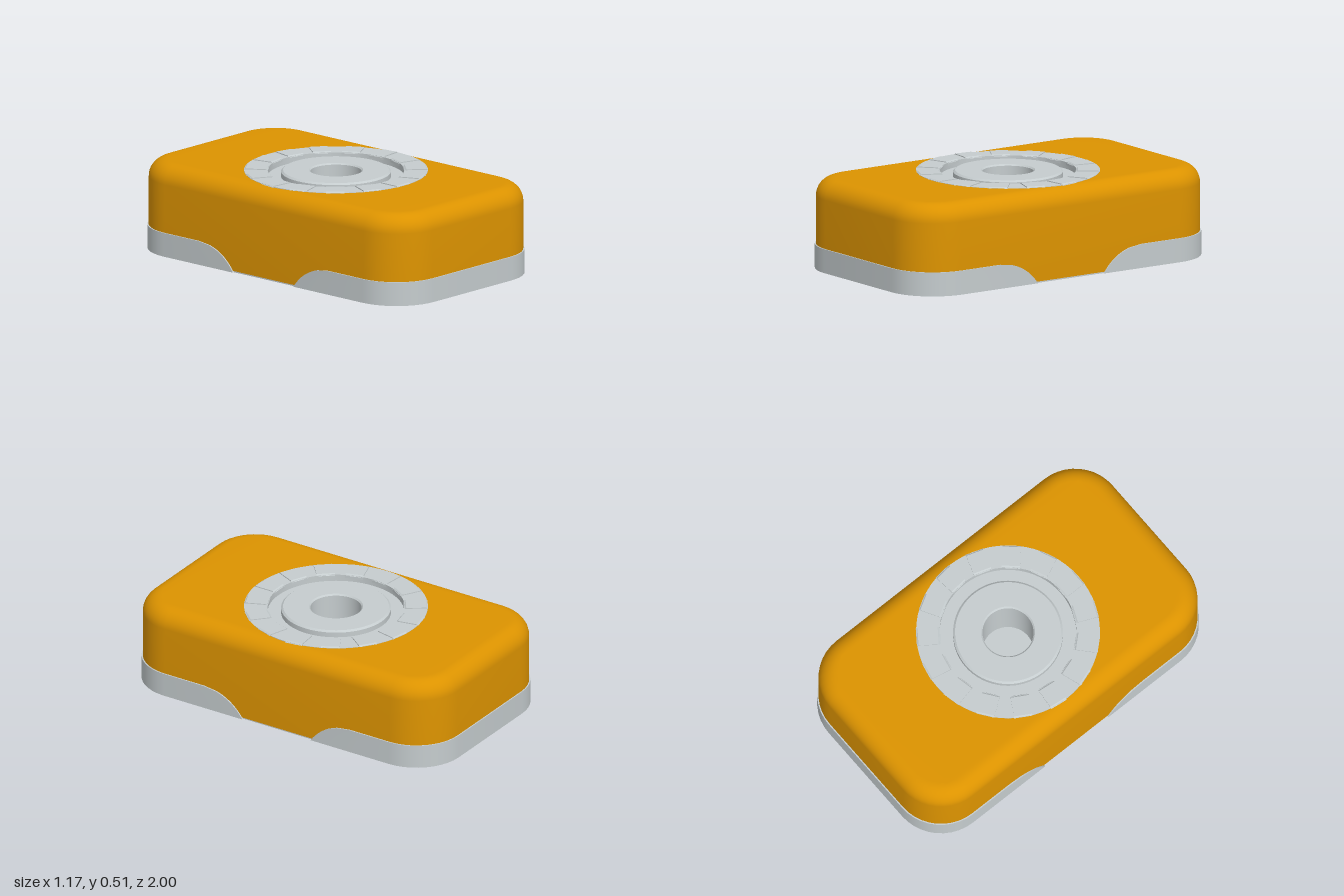
import * as THREE from 'three';
import { toCreasedNormals, mergeGeometries } from 'three/addons/utils/BufferGeometryUtils.js';

const grey = new THREE.MeshStandardMaterial({ color: 0xc5ccce });
const orange = new THREE.MeshStandardMaterial({ color: 0xdc9300 });

// Rounded rectangle in plan, counter-clockwise; optional side notches of half-length w
function outline(hx, hz, r, w = 0, depth = 0) {
  const pts = [];
  const corner = (sx, sz, start) => {
    for (let i = 0; i <= 10; i++) {
      const a = start + (i / 10) * Math.PI / 2;
      pts.push(new THREE.Vector2(sx * (hx - r) + r * Math.cos(a), sz * (hz - r) + r * Math.sin(a)));
    }
  };
  const notch = (s) => {
    if (!depth) return;
    const x = s * hx, xi = s * (hx - depth);
    pts.push(new THREE.Vector2(x, -s * w), new THREE.Vector2(xi, -s * w),
      new THREE.Vector2(xi, s * w), new THREE.Vector2(x, s * w));
  };
  notch(1);
  corner(1, 1, 0);
  corner(-1, 1, Math.PI / 2);
  notch(-1);
  corner(-1, -1, Math.PI);
  corner(1, -1, Math.PI * 1.5);
  return pts;
}

// Skin through stacked outlines, closed with flat caps; the top cap may have a round hole
function loft(rows, hole = 0) {
  const pos = [], idx = [], n = rows[0].pts.length;
  for (const { pts, y } of rows) for (const p of pts) pos.push(p.x, y, -p.y);
  for (let k = 0; k < rows.length - 1; k++) {
    for (let i = 0; i < n; i++) {
      const a = k * n + i, b = k * n + (i + 1) % n;
      idx.push(a, b, b + n, a, b + n, a + n);
    }
  }
  const skin = new THREE.BufferGeometry();
  skin.setAttribute('position', new THREE.Float32BufferAttribute(pos, 3));
  skin.setIndex(idx);
  const cap = (row, up) => {
    const shape = new THREE.Shape(row.pts);
    if (up && hole) shape.holes.push(new THREE.Path().absarc(0, 0, hole, 0, Math.PI * 2, true));
    const g = new THREE.ShapeGeometry(shape, 32).rotateX(-Math.PI / 2).translate(0, row.y, 0);
    if (!up) g.index.array.reverse();
    g.deleteAttribute('uv');
    g.deleteAttribute('normal');
    return g;
  };
  const parts = [skin, cap(rows[0], false), cap(rows[rows.length - 1], true)];
  return toCreasedNormals(mergeGeometries(parts.map((g) => g.toNonIndexed())), 0.6);
}

function add(parent, name, geometry, material) {
  const mesh = new THREE.Mesh(geometry, material);
  mesh.name = name;
  parent.add(mesh);
  return mesh;
}

export function createModel() {
  const model = new THREE.Group();
  model.name = 'dialBox';

  // Base tray, its sides cut away by a flared notch
  const baseRows = [];
  for (let i = 0; i <= 12; i++) {
    const y = 0.132 * i / 12;
    const w = 0.47 - Math.sqrt(Math.max(0, 0.09 - (y + 0.168) ** 2));
    baseRows.push({ pts: outline(0.583, 1, 0.272, w, 0.011), y });
  }
  add(model, 'base', loft(baseRows), grey);

  // Cover with a rounded top edge, reaching down into the notches
  const R = 0.1;
  const coverRows = [{ pts: outline(0.576, 0.993, 0.265), y: 0.008 }];
  for (let i = 0; i <= 10; i++) {
    const a = (i / 10) * Math.PI / 2, inset = R * (1 - Math.cos(a));
    coverRows.push({
      pts: outline(0.576 - inset, 0.993 - inset, 0.265 - inset),
      y: 0.4 + R * Math.sin(a),
    });
  }
  // The opening stays inside the flat top and is hidden under the dial's ring
  add(model, 'cover', loft(coverRows, 0.42), orange);

  // Dial: deep centre bore, raised hub, sunken groove and outer ring
  const dial = new THREE.Group();
  dial.name = 'dial';
  model.add(dial);
  // From the outer skirt inward to the axis, so that the surface faces up
  const profile = [
    [0.497, 0.45], [0.497, 0.502], [0.37, 0.502], [0.37, 0.465], [0.297, 0.465],
    [0.297, 0.493], [0.286, 0.502], [0.146, 0.502], [0.138, 0.494], [0.138, 0.2], [0, 0.2],
  ].map(([r, y]) => new THREE.Vector2(r, y));
  add(dial, 'dialDisc', toCreasedNormals(new THREE.LatheGeometry(profile, 64), 0.4), grey);

  // Fifteen raised grip teeth with chamfered ends
  const tooth = new THREE.ExtrudeGeometry(new THREE.Shape([
    new THREE.Vector2(0.366, 0.485), new THREE.Vector2(0.499, 0.485),
    new THREE.Vector2(0.499, 0.498), new THREE.Vector2(0.487, 0.507),
    new THREE.Vector2(0.378, 0.507), new THREE.Vector2(0.366, 0.498),
  ]), { depth: 0.1, bevelEnabled: false }).translate(0, 0, -0.05);
  for (let i = 0; i < 15; i++) {
    add(dial, 'gripTooth', tooth, grey).rotation.y = -Math.PI / 2 + i * Math.PI * 2 / 15;
  }
  return model;
}
